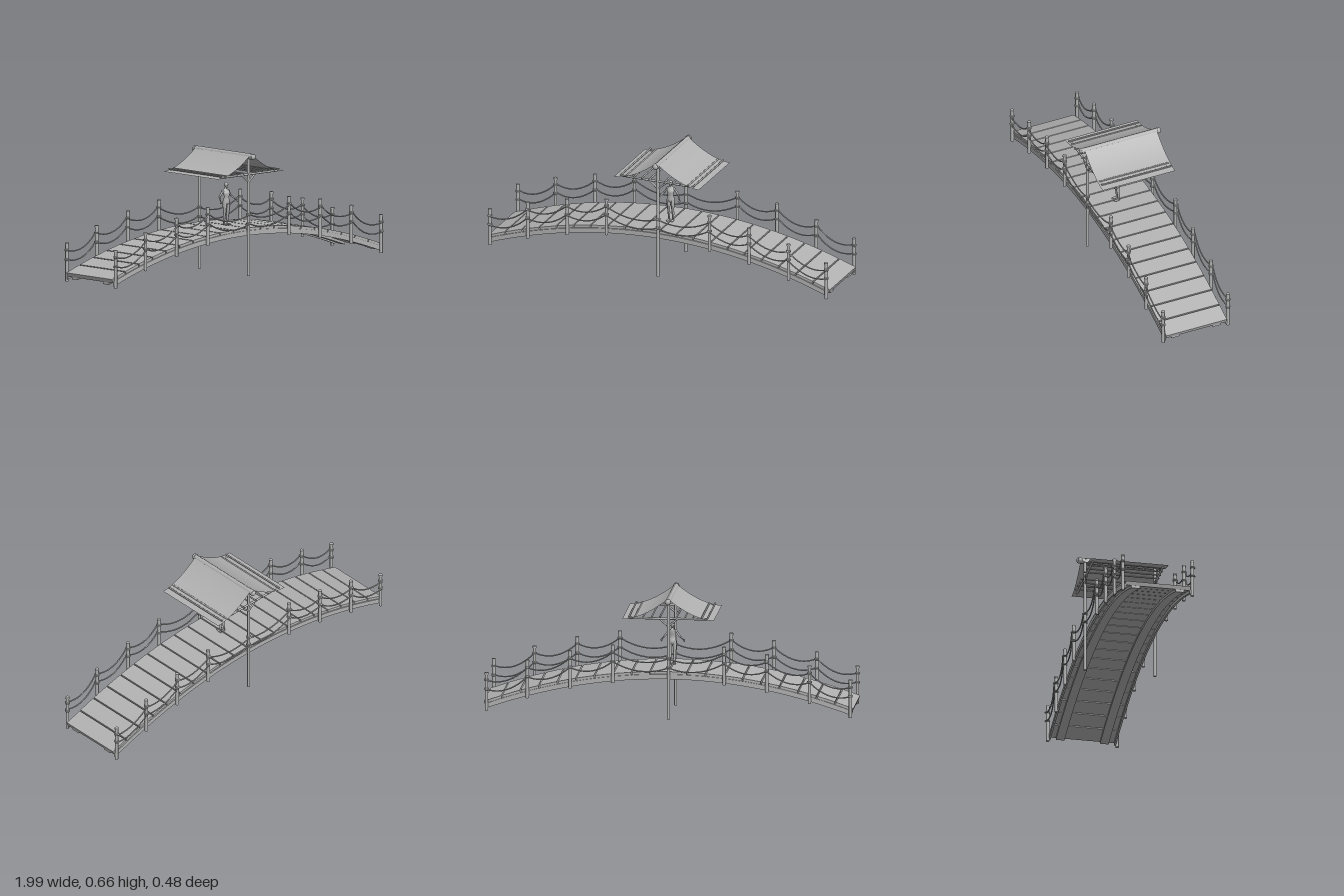
import * as THREE from 'three';

const V = (x, y, z) => new THREE.Vector3(x, y, z);

export function createModel() {
  const model = new THREE.Group();
  model.name = 'footbridge';
  const grey = new THREE.MeshStandardMaterial({ color: 0xb2b2b2 });
  grey.name = 'plain grey';
  const greyCloth = new THREE.MeshStandardMaterial({ color: 0xb2b2b2, side: THREE.DoubleSide });
  greyCloth.name = 'cloth grey';

  const add = (name, geometry, parent = model, material = grey) => {
    const mesh = new THREE.Mesh(geometry, material);
    mesh.name = name;
    parent.add(mesh);
    return mesh;
  };
  // Round bar between two points
  const bar = (name, a, b, r0, r1 = r0, parent = model, sides = 14) => {
    const mesh = add(name, new THREE.CylinderGeometry(r1, r0, a.distanceTo(b), sides), parent);
    mesh.position.copy(a).add(b).multiplyScalar(0.5);
    mesh.quaternion.setFromUnitVectors(V(0, 1, 0), b.clone().sub(a).normalize());
    return mesh;
  };
  const ball = (name, p, sx, sy, sz, parent = model) => {
    const mesh = add(name, new THREE.SphereGeometry(1, 16, 12), parent);
    mesh.position.copy(p);
    mesh.scale.set(sx, sy, sz);
    return mesh;
  };

  // Height of the arched walking surface
  const deckTop = (x) => 0.257 - 0.184 * x * x;

  // Planks
  for (let i = 0; i < 20; i++) {
    const x = -0.945 + i * 0.0995;
    const plank = add('plank', new THREE.BoxGeometry(0.093 * Math.hypot(1, 0.368 * x), 0.022, 0.356));
    plank.position.set(x, deckTop(x) - 0.011, 0);
    plank.rotation.z = Math.atan(-0.368 * x);
  }

  // Arched beams: a curved band between two depths below the deck
  const arch = (name, z, width, upper, lower) => {
    const pts = [];
    for (let i = 0; i <= 40; i++) {
      const x = -0.985 + i * 0.04925;
      pts.push(new THREE.Vector2(x, deckTop(x) - lower));
    }
    for (let i = 40; i >= 0; i--) {
      const x = -0.985 + i * 0.04925;
      pts.push(new THREE.Vector2(x, deckTop(x) - upper));
    }
    const geo = new THREE.ExtrudeGeometry(new THREE.Shape(pts), { depth: width, bevelEnabled: false });
    geo.translate(0, 0, z - width / 2);
    add(name, geo);
  };
  for (const s of [-1, 1]) {
    arch('underBeam', s * 0.121, 0.047, 0.022, 0.036);
    arch('sideBeam', s * 0.179, 0.01, 0.014, 0.04);
  }

  // Railing posts with rope wraps, and sagging ropes
  const postX = [-0.98, -0.76, -0.53, -0.3, 0, 0.3, 0.53, 0.76, 0.98];
  const postTop = (x) => (x === 0 ? 0.372 : 0.43 - 0.19 * x * x - 0.012);
  for (const s of [-1, 1]) {
    const z = s * 0.19;
    for (const x of postX) {
      const top = postTop(x);
      if (x !== 0) {
        bar('railingPost', V(x, top - 0.208, z), V(x, top, z), 0.009);
        bar('postCap', V(x, top - 0.01, z), V(x, top, z), 0.0105);
      }
      for (const drop of [0.04, 0.09]) {
        for (const k of [-0.003, 0.003]) {
          const wrap = add('ropeWrap', new THREE.TorusGeometry(0.0098, 0.0032, 8, 18));
          wrap.rotation.x = Math.PI / 2;
          wrap.position.set(x, top - drop + k, z);
        }
        ball('ropeKnot', V(x, top - drop, s * 0.202), 0.006, 0.005, 0.005);
      }
    }
    for (let i = 0; i < postX.length - 1; i++) {
      const [x0, x1] = [postX[i], postX[i + 1]];
      for (const drop of [0.04, 0.09]) {
        const pts = [];
        for (let j = 0; j <= 8; j++) {
          const t = j / 8, sag = 4 * t * (1 - t);
          pts.push(V(
            x0 + (x1 - x0) * t,
            postTop(x0) * (1 - t) + postTop(x1) * t - drop - 0.037 * sag,
            s * (0.201 - 0.008 * sag)));
        }
        add('rope', new THREE.TubeGeometry(new THREE.CatmullRomCurve3(pts), 24, 0.0037, 8));
      }
    }
  }

  // Canopy frame
  const canopy = new THREE.Group();
  canopy.name = 'canopy';
  model.add(canopy);
  bar('ridgePole', V(0, 0.646, -0.226), V(0, 0.646, 0.226), 0.0145, 0.0145, canopy, 20);
  for (const s of [-1, 1]) {
    const z = s * 0.191;
    bar('tallPost', V(0, 0, z), V(0, 0.646, z), 0.008, 0.008, canopy);
    bar('poleCollar', V(0, 0.646, s * 0.217), V(0, 0.646, s * 0.229), 0.0165, 0.0165, canopy, 20);
    ball('poleEnd', V(0, 0.646, s * 0.228), 0.0155, 0.0155, 0.01, canopy);
    bar('crossBeam', V(-0.21, 0.55, z), V(0.21, 0.55, z), 0.006, 0.006, canopy);
    for (const k of [-1, 1]) {
      bar('brace', V(0, 0.507, z), V(k * 0.048, 0.548, z), 0.005, 0.005, canopy);
    }
  }
  for (const s of [-1, 1]) {
    for (const x of [0.045, 0.09, 0.135, 0.18, 0.212]) {
      bar('purlin', V(s * x, 0.5585, -0.205), V(s * x, 0.5585, 0.205), 0.0045, 0.0045, canopy, 10);
    }
  }

  // Cloth draped over the ridge, hanging in a concave curve each side
  const drape = [];
  for (let i = -20; i <= 20; i++) {
    const t = Math.abs(i) / 20;
    const y = i === 0 ? 0.663 : 0.547 + 0.114 * Math.pow(1 - t, 1.8);
    drape.push([Math.sign(i) * t * 0.247, y]);
  }
  const cloth = new THREE.PlaneGeometry(1, 1, 40, 1);
  const pos = cloth.attributes.position;
  for (let i = 0; i < pos.count; i++) {
    const [x, y] = drape[i % 41];
    pos.setXYZ(i, x, y, i < 41 ? -0.213 : 0.213);
  }
  cloth.computeVertexNormals();
  add('clothRoof', cloth, canopy, greyCloth);

  // Standing figure, lofted from oval sections [y, x, z, halfWidth, halfDepth]
  const figure = new THREE.Group();
  figure.name = 'figure';
  model.add(figure);
  const loft = (name, sections) => {
    const n = 16;
    const geo = new THREE.CylinderGeometry(1, 1, 1, n, sections.length - 1, true);
    const p = geo.attributes.position;
    for (let i = 0; i < p.count; i++) {
      const [y, x, z, w, d] = sections[Math.floor(i / (n + 1))];
      const a = ((i % (n + 1)) / n) * Math.PI * 2;
      p.setXYZ(i, x + Math.sin(a) * w, y, z + Math.cos(a) * d);
    }
    geo.computeVertexNormals();
    add(name, geo, figure);
  };
  loft('torso', [
    [0.462, 0, 0.014, 0.006, 0.006], [0.452, 0, 0.011, 0.008, 0.007],
    [0.447, 0, 0.012, 0.02, 0.009], [0.435, 0, 0.018, 0.022, 0.014],
    [0.425, 0, 0.02, 0.02, 0.014], [0.41, 0, 0.02, 0.016, 0.01],
    [0.398, 0, 0.018, 0.019, 0.012], [0.385, 0, 0.017, 0.022, 0.015],
    [0.372, 0, 0.018, 0.021, 0.013], [0.365, 0, 0.019, 0.004, 0.004],
  ]);
  ball('head', V(0, 0.476, 0.016), 0.0105, 0.014, 0.0135, figure);
  ball('jaw', V(0, 0.467, 0.022), 0.007, 0.008, 0.008, figure);
  for (const s of [-1, 1]) {
    loft('leg', [
      [0.388, s * 0.011, 0.017, 0.01, 0.013], [0.365, s * 0.012, 0.019, 0.011, 0.013],
      [0.34, s * 0.012, 0.019, 0.009, 0.01], [0.322, s * 0.012, 0.018, 0.007, 0.008],
      [0.303, s * 0.012, 0.014, 0.0075, 0.008], [0.275, s * 0.012, 0.013, 0.0045, 0.005],
      [0.258, s * 0.012, 0.013, 0.005, 0.006],
    ]);
    ball('foot', V(s * 0.013, 0.262, 0.025), 0.0065, 0.005, 0.018, figure);
    const shoulder = V(s * 0.021, 0.441, 0.012), elbow = V(s * 0.042, 0.412, 0.01);
    const wrist = V(s * 0.057, 0.393, 0.034);
    ball('shoulder', shoulder, 0.007, 0.008, 0.008, figure);
    bar('upperArm', shoulder, elbow, 0.006, 0.005, figure);
    ball('elbow', elbow, 0.005, 0.005, 0.005, figure);
    bar('forearm', elbow, wrist, 0.005, 0.0035, figure);
    ball('hand', V(s * 0.061, 0.386, 0.04), 0.005, 0.008, 0.007, figure);
  }
  return model;
}
